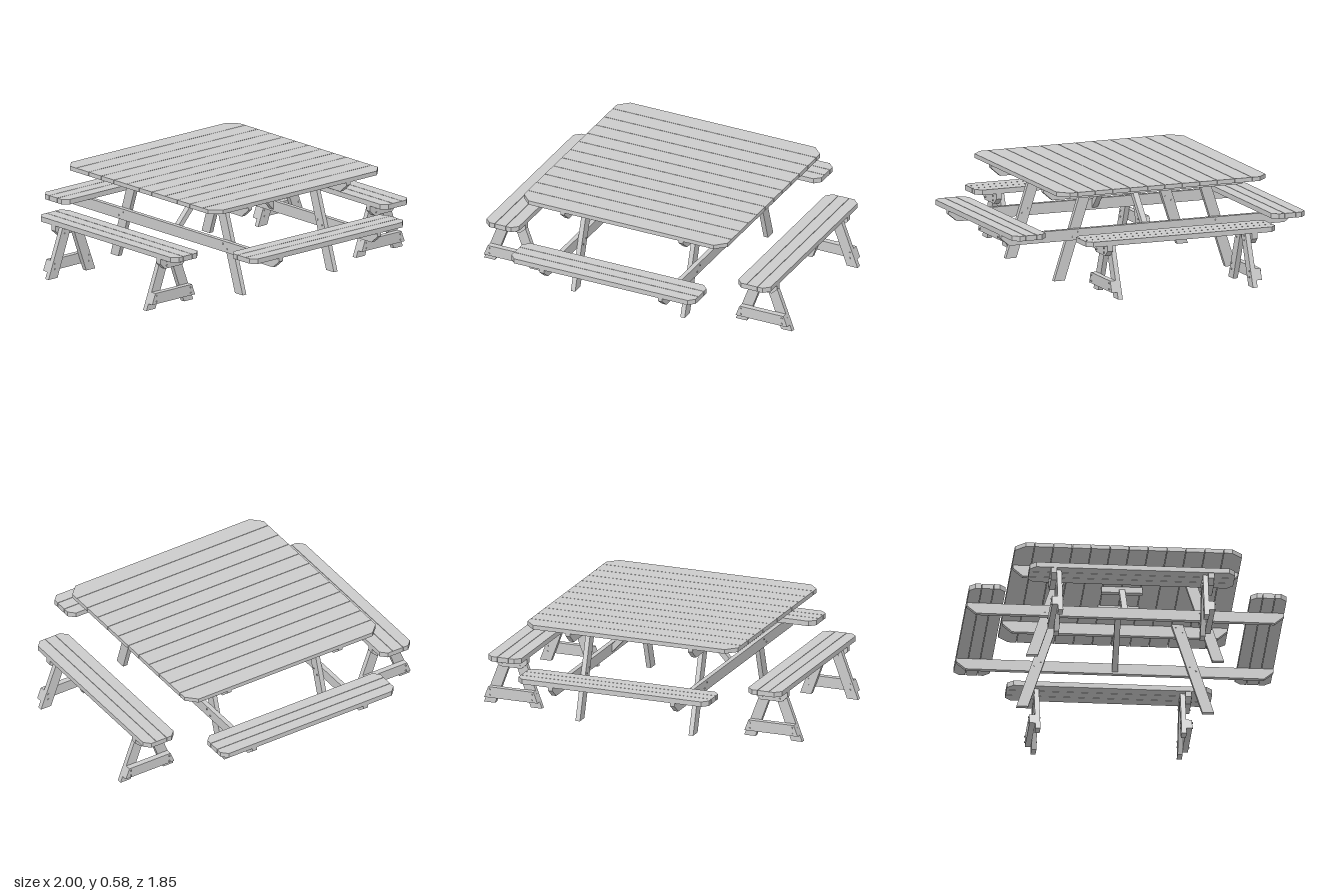
import * as THREE from 'three';

const wood = new THREE.MeshStandardMaterial({ color: 0xcccccc, flatShading: true });

function add(parent, geometry, name) {
  const mesh = new THREE.Mesh(geometry, wood);
  mesh.name = name;
  parent.add(mesh);
  return mesh;
}

// Extrude an outline given as [x, y] pairs from z0 to z1
function prismZ(points, z0, z1) {
  const shape = new THREE.Shape(points.map(([x, y]) => new THREE.Vector2(x, y)));
  return new THREE.ExtrudeGeometry(shape, { depth: z1 - z0, bevelEnabled: false }).translate(0, 0, z0);
}

// Extrude an outline given as [z, y] pairs from x0 to x1
function prismX(points, x0, x1) {
  return prismZ(points, -x1, -x0).rotateY(-Math.PI / 2);
}

// Beam outline with the lower corners cut away
function beamOutline(half, y0, y1, cutX, cutY) {
  return [[-half + cutX, y0], [half - cutX, y0], [half, y0 + cutY], [half, y1], [-half, y1], [-half, y0 + cutY]];
}

// Row of boards along x; the outer boards have clipped corners
function boards(count, halfX, halfZ, y0, y1, cut, name) {
  const group = new THREE.Group();
  group.name = name;
  const w = 2 * halfZ / count;
  const gap = 0.0015;
  for (let i = 0; i < count; i++) {
    const a = -halfZ + i * w + (i > 0 ? gap : 0);
    const b = -halfZ + (i + 1) * w - (i < count - 1 ? gap : 0);
    const c0 = i === 0 ? cut : 0;
    const c1 = i === count - 1 ? cut : 0;
    const pts = [[-halfX + c0, a], [halfX - c0, a]];
    if (c0) pts.push([halfX, a + c0]);
    if (c1) pts.push([halfX, b - c1]);
    pts.push([halfX - c1, b], [-halfX + c1, b]);
    if (c1) pts.push([-halfX, b - c1]);
    if (c0) pts.push([-halfX, a + c0]);
    const board = prismZ(pts, -y1, -y0).rotateX(Math.PI / 2);
    add(group, board, name + 'Board');
  }
  return group;
}

// Bolt through the timber along x or z
function bolt(parent, axis, from, to, u, y) {
  const g = new THREE.CylinderGeometry(0.005, 0.005, Math.abs(to - from), 8);
  const mid = (from + to) / 2;
  if (axis === 'x') g.rotateZ(Math.PI / 2).translate(mid, y, u);
  else g.rotateX(Math.PI / 2).translate(u, y, mid);
  add(parent, g, 'bolt');
}

// Free-standing bench, lengthwise along z and centred on x = 0
function freeBench(name) {
  const bench = new THREE.Group();
  bench.name = name;
  const seat = boards(3, 0.597, 0.105, 0.305, 0.335, 0.035, 'benchSeat');
  seat.rotation.y = Math.PI / 2;
  bench.add(seat);
  for (const s of [1, -1]) {
    const span = (a, b) => (s > 0 ? [a, b] : [-b, -a]);
    // Splayed legs meeting under the seat
    for (const side of [1, -1]) {
      const leg = [[0.112, 0], [0.182, 0], [0.067, 0.305], [0, 0.305]].map(([x, y]) => [x * side, y]);
      add(bench, prismZ(leg, ...span(0.411, 0.44)), 'benchLeg');
      for (const [x, y] of [[0.132, 0.09], [0.132, 0.055], [0.055, 0.285], [0.055, 0.258]]) {
        bolt(bench, 'z', s * 0.406, s * 0.48, side * x, y);
      }
    }
    // Seat support and foot rail on the outer face of the legs
    add(bench, prismZ(beamOutline(0.102, 0.24, 0.305, 0.035, 0.032), ...span(0.44, 0.474)), 'benchSupport');
    add(bench, prismZ([[-0.167, 0.04], [0.167, 0.04], [0.142, 0.105], [-0.142, 0.105]], ...span(0.44, 0.474)), 'benchRail');
  }
  return bench;
}

export function createModel() {
  const model = new THREE.Group();
  model.name = 'picnicTable';

  // Table top
  model.add(boards(12, 0.66, 0.66, 0.555, 0.58, 0.06, 'tableTop'));

  // Attached benches at front and back
  for (const s of [1, -1]) {
    const seat = boards(3, 0.597, 0.105, 0.305, 0.335, 0.035, s > 0 ? 'frontSeat' : 'backSeat');
    seat.position.z = s * 0.818;
    model.add(seat);
  }

  // Two trestle frames
  for (const s of [1, -1]) {
    const frame = new THREE.Group();
    frame.name = s > 0 ? 'leftFrame' : 'rightFrame';
    const span = (a, b) => (s > 0 ? [a, b] : [-b, -a]);
    add(frame, prismX(beamOutline(0.655, 0.487, 0.555, 0.058, 0.05), ...span(0.369, 0.397)), 'topBeam');
    add(frame, prismX(beamOutline(0.923, 0.24, 0.305, 0.055, 0.045), ...span(0.369, 0.397)), 'seatBeam');

    // Splayed legs and their bolts
    for (const side of [1, -1]) {
      const legZ = y => 0.541 - 0.324 * y;
      const leg = [[legZ(0) - 0.034, 0], [legZ(0) + 0.034, 0], [legZ(0.555) + 0.034, 0.555], [legZ(0.555) - 0.034, 0.555]]
        .map(([z, y]) => [z * side, y]);
      add(frame, prismX(leg, ...span(0.341, 0.369)), 'leg');
      [0.538, 0.508, 0.288, 0.262].forEach((y, i) => {
        bolt(frame, 'x', s * 0.336, s * 0.402, side * (legZ(y) + (i % 2 ? 0.014 : -0.014)), y);
      });
    }

    // Diagonal brace from the seat beam up to the cleat
    const brace = [[0.369, 0.252], [0.369, 0.3], [0.15, 0.538], [0.134, 0.555], [0.11, 0.534]].map(([x, y]) => [x * s, y]);
    add(frame, prismZ(brace, -0.017, 0.017), 'brace');
    add(frame, new THREE.BoxGeometry(0.037, 0.036, 0.24).translate(s * 0.13, 0.537, 0), 'cleat');
    model.add(frame);
  }

  // Free-standing benches at the sides
  for (const s of [1, -1]) {
    const bench = freeBench(s > 0 ? 'leftBench' : 'rightBench');
    bench.position.x = s * 0.816;
    model.add(bench);
  }
  return model;
}
